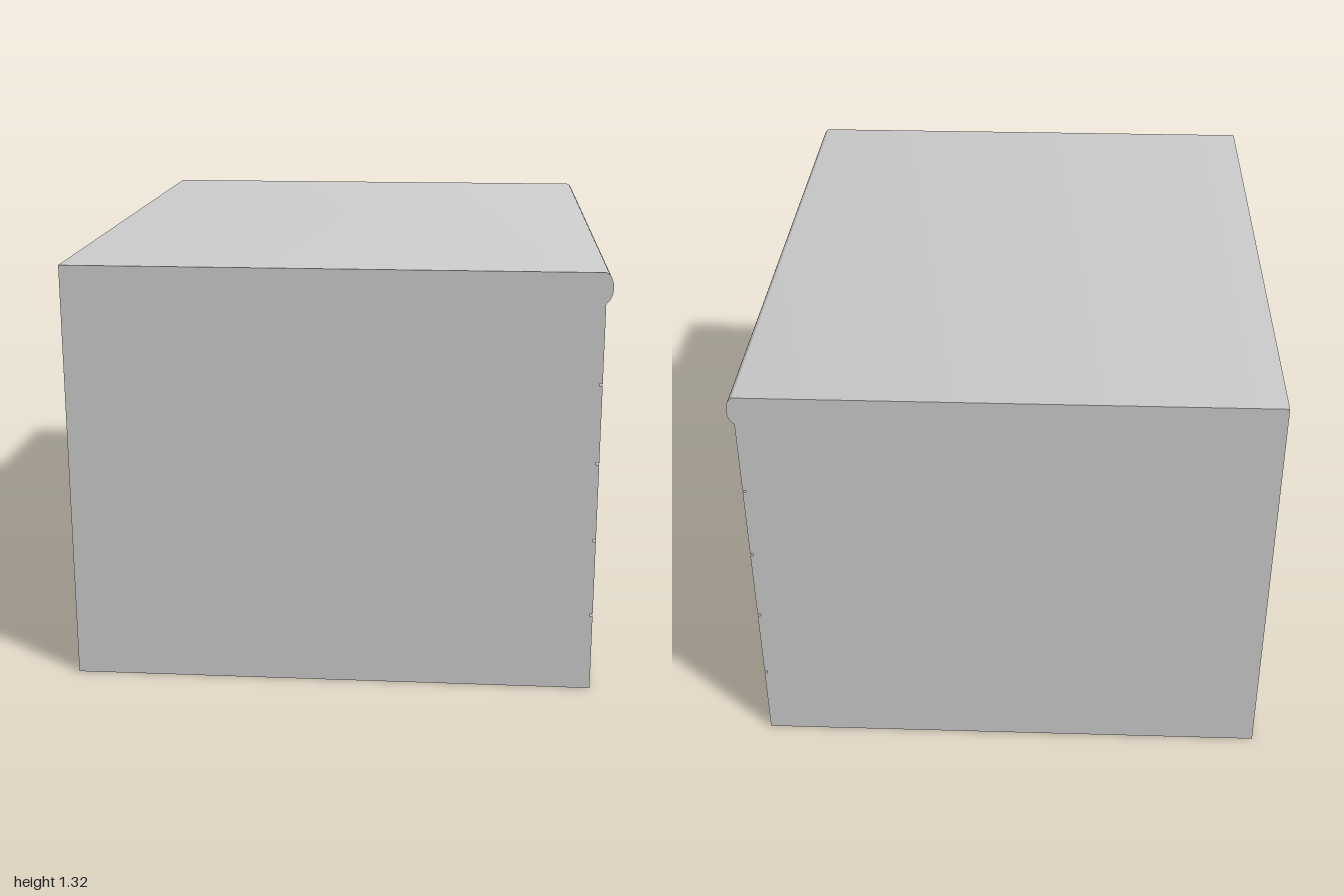
import * as THREE from 'three';
import { toCreasedNormals } from 'three/addons/utils/BufferGeometryUtils.js';

const BACK = -0.82, FACE = 0.8, TIP = 0.82, TOP = 1.317, DEPTH = 2;

export function createModel() {
  const group = new THREE.Group();
  const mat = new THREE.MeshStandardMaterial({ color: 0xcccccc });

  // Cabinet: side profile with shallow gaps between drawers and a rounded top lip
  const profile = new THREE.Shape();
  profile.moveTo(BACK, 0);
  profile.lineTo(FACE, 0);
  for (let i = 1; i <= 4; i++) {
    const y = 0.245 * i;
    profile.lineTo(FACE, y - 0.004);
    profile.lineTo(FACE - 0.01, y - 0.004);
    profile.lineTo(FACE - 0.01, y + 0.004);
    profile.lineTo(FACE, y + 0.004);
  }
  profile.lineTo(FACE, 1.225);
  profile.absellipse(TIP - 0.025, 1.271, 0.025, 0.046, -1.3, Math.PI / 2, false);
  profile.lineTo(BACK, TOP);
  profile.closePath();
  const bodyGeo = new THREE.ExtrudeGeometry(profile, { depth: DEPTH, bevelEnabled: false, curveSegments: 16 });
  bodyGeo.translate(0, 0, -DEPTH / 2);
  const body = new THREE.Mesh(toCreasedNormals(bodyGeo, 0.6), mat);
  body.name = 'cabinetBody';
  group.add(body);

  // Handle: flat U-shaped pull, seen from above, extruded upwards
  const half = 0.345, t = 0.008, height = 0.032;
  const pull = new THREE.Shape([
    [FACE, -half], [TIP, -half], [TIP, half], [FACE, half],
    [FACE, half - t], [TIP - t, half - t], [TIP - t, -half + t], [FACE, -half + t],
  ].map(([x, z]) => new THREE.Vector2(x, z)));
  const pullGeo = new THREE.ExtrudeGeometry(pull, { depth: height, bevelEnabled: false });
  pullGeo.rotateX(-Math.PI / 2).translate(0, -height / 2, 0);

  // One handle per drawer
  for (let i = 0; i < 5; i++) {
    const handle = new THREE.Mesh(pullGeo, mat);
    handle.name = `drawerHandle${i + 1}`;
    handle.position.y = 0.207 + i * 0.234;
    group.add(handle);
  }
  return group;
}
